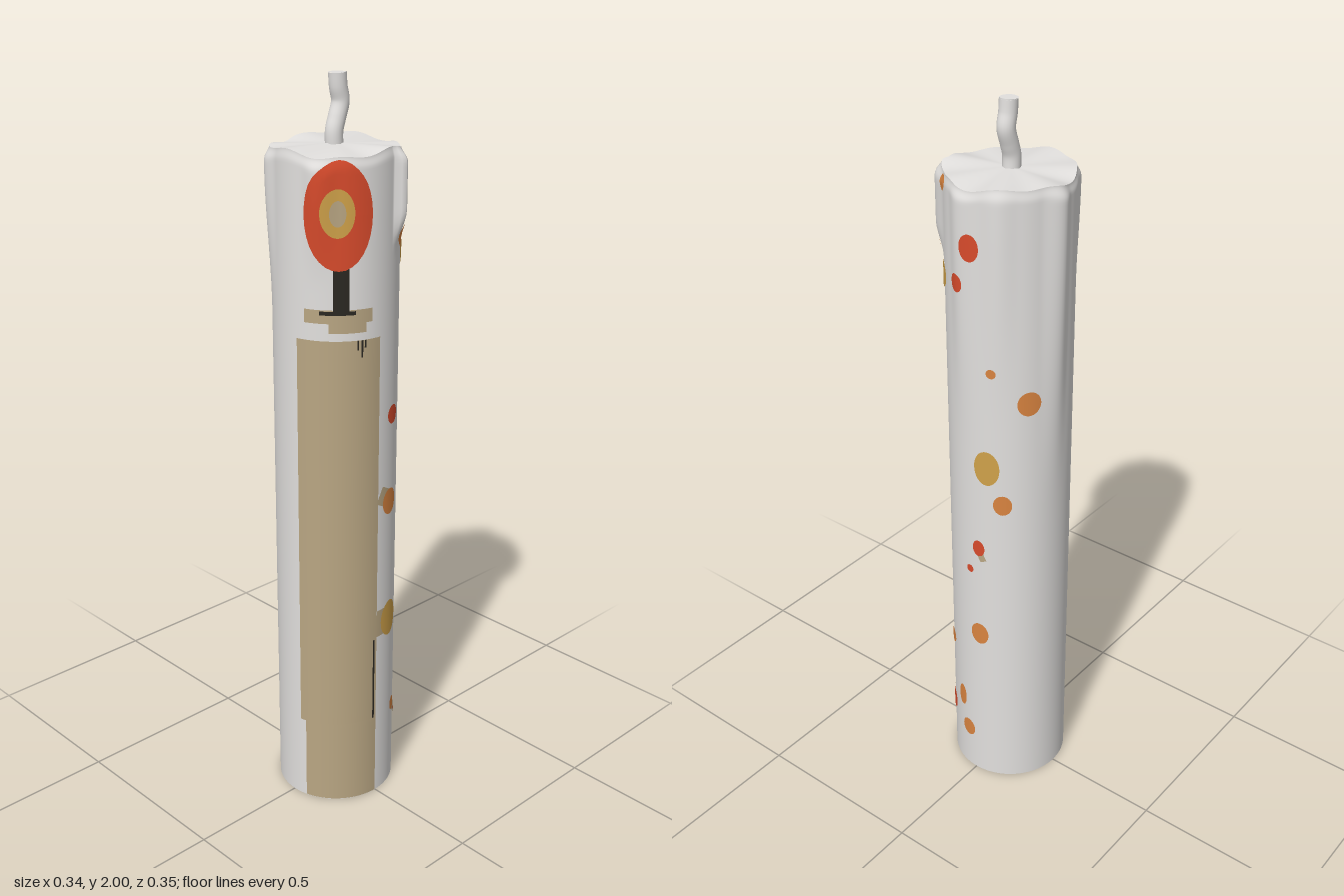
import * as THREE from 'three';
import { mergeVertices } from 'three/addons/utils/BufferGeometryUtils.js';

const R = 0.163, DEG = Math.PI / 180;
const smooth = (a, b, x) => THREE.MathUtils.smoothstep(x, a, b);

// wax runs under the rim: angle, bulge, width to either side (degrees), lower and upper height
const drips = [
  [22, 0.026, 5, 26, 1.58, 1.68],
  [80, 0.009, 16, 22, 1.1, 1.75],
  [118, 0.007, 18, 18, 1.2, 1.75],
  [174, 0.017, 20, 16, 0.9, 1.78],
  [-124, 0.015, 22, 16, 1.4, 1.78],
  [-60, 0.012, 16, 20, 1.5, 1.76],
];

// angle 0 faces +z and grows toward +x
function radius(t, y) {
  let r = R;
  for (const [a, bulge, wl, wr, y0, y1] of drips) {
    let d = t / DEG - a;
    d -= 360 * Math.round(d / 360);
    const s = Math.max(0, 1 - Math.abs(d) / (d < 0 ? wl : wr));
    r += bulge * s * s * (3 - 2 * s) * smooth(y0, y1, y) * (1 - 0.6 * smooth(1.79, 1.83, y));
  }
  return r - 0.005 * smooth(1.8, 1.826, y);
}

function surface(t, y, lift = 0) {
  const r = radius(t, y) + lift;
  const wave = 0.006 * Math.sin(3 * t + 0.6) + 0.004 * Math.sin(7 * t);
  return new THREE.Vector3(r * Math.sin(t), y + wave * smooth(1.74, 1.826, y), r * Math.cos(t));
}

// wraps a flat geometry (x = arc length, y = height) round the candle
function wrap(geo, lift) {
  const p = geo.attributes.position;
  for (let i = 0; i < p.count; i++) {
    const v = surface(p.getX(i) / R, p.getY(i), lift);
    p.setXYZ(i, v.x, v.y, v.z);
  }
  geo.computeVertexNormals();
  return geo;
}

export function createModel() {
  const group = new THREE.Group();
  const material = (name, color) => {
    const m = new THREE.MeshStandardMaterial({ color });
    m.name = name;
    return m;
  };
  const wax = material('white wax', 0xe2e0de);
  const tan = material('tan paint', 0xb9a683);
  const red = material('red paint', 0xd84b2c);
  const orange = material('orange paint', 0xd98440);
  const yellow = material('yellow paint', 0xd0a24a);
  const dark = material('dark paint', 0x2b2822);

  const add = (name, geo, mat) => {
    const mesh = new THREE.Mesh(geo, mat);
    mesh.name = name;
    group.add(mesh);
    return mesh;
  };

  // wax column, with rows packed toward the rim
  let side = new THREE.PlaneGeometry(2 * Math.PI * R, 1, 144, 70);
  const sp = side.attributes.position;
  for (let i = 0; i < sp.count; i++) {
    const v = sp.getY(i) + 0.5;
    sp.setY(i, 1.826 * (1 - (1 - v) ** 2));
  }
  wrap(side, 0);
  side.deleteAttribute('uv');
  side.deleteAttribute('normal');
  side = mergeVertices(side, 1e-5);
  side.computeVertexNormals();
  add('candleSide', side, wax);

  // top surface and base
  const top = new THREE.CircleGeometry(1, 144).rotateX(-Math.PI / 2);
  const tp = top.attributes.position;
  for (let i = 0; i < tp.count; i++) {
    const x = tp.getX(i), z = tp.getZ(i);
    const v = Math.hypot(x, z) < 0.5 ? new THREE.Vector3(0, 1.832, 0) : surface(Math.atan2(x, z), 1.826);
    tp.setXYZ(i, v.x, v.y, v.z);
  }
  top.computeVertexNormals();
  add('candleTop', top, wax);
  add('candleBase', new THREE.CircleGeometry(R, 144).rotateX(Math.PI / 2), wax);

  // bent wick
  const bend = [[-0.004, 1.81], [-0.005, 1.86], [0.004, 1.89], [0.016, 1.93], [0.009, 1.965], [0.006, 2]];
  const path = new THREE.CatmullRomCurve3(bend.map(([x, y]) => new THREE.Vector3(x, y, 0)));
  add('wick', new THREE.TubeGeometry(path, 30, 0.023, 20), wax);
  add('wickTip', new THREE.CircleGeometry(0.0235, 20).rotateX(-Math.PI / 2).translate(0.006, 1.999, 0), wax);

  // paint helpers; angles in degrees, sizes measured along the surface
  const oval = (name, mat, a, y, rx, ry, lift = 0.0025) => add(name, wrap(
    new THREE.RingGeometry(0, 1, 32, 8).scale(rx, ry, 1).translate(a * DEG * R, y, 0), lift), mat);
  const panel = (name, mat, a0, a1, y0, y1, lift = 0.0018) => add(name, wrap(
    new THREE.PlaneGeometry((a1 - a0) * DEG * R, y1 - y0, 24, 16)
      .translate((a0 + a1) / 2 * DEG * R, (y0 + y1) / 2, 0), lift), mat);
  const streak = (name, mat, a0, y0, a1, y1, w) => {
    const dx = (a1 - a0) * DEG * R, dy = y1 - y0;
    add(name, wrap(new THREE.PlaneGeometry(Math.hypot(dx, dy), w, 10, 3).rotateZ(Math.atan2(dy, dx))
      .translate((a0 + a1) / 2 * DEG * R, (y0 + y1) / 2, 0), 0.002), mat);
  };

  // tan field on the front
  panel('tanField', tan, -80, -1, 0.25, 1.37);
  panel('tanFieldFoot', tan, -74, -1, 0.002, 0.25);
  panel('tanBand', tan, -72, -10, 1.415, 1.45);
  panel('tanBandStep', tan, -50, -16, 1.39, 1.415);
  panel('darkLine', dark, -5.5, -3.5, 0.25, 0.5, 0.0025);

  // flower with stem
  oval('flowerPetals', red, -41, 1.684, 0.086, 0.136, 0.0025);
  oval('flowerCentre', yellow, -42, 1.69, 0.042, 0.06, 0.004);
  oval('flowerHeart', tan, -42, 1.69, 0.02, 0.032, 0.0055);
  panel('stem', dark, -46, -32, 1.44, 1.56, 0.002);
  panel('stemFoot', dark, -58, -26, 1.437, 1.447, 0.0028);
  for (const [a, y0, y1] of [[-24, 1.345, 1.37], [-20, 1.325, 1.37], [-17, 1.35, 1.37]])
    panel('darkTick', dark, a - 0.8, a + 0.8, y0, y1, 0.0028);

  // smears beside some of the dots
  streak('smear', tan, 1, 0.93, 14, 0.91, 0.05);
  streak('smear', tan, -1, 0.545, 12, 0.545, 0.08);
  streak('smear', tan, 29, 0.25, 46, 0.2, 0.025);
  streak('smear', orange, 29, 1.61, 44, 1.575, 0.03);
  streak('smear', tan, 97, 0.805, 102, 0.775, 0.02);

  // scattered dots: paint, angle, height, half width, half height
  const dots = [
    [red, 19.5, 1.145, 0.024, 0.026],
    [orange, 16, 0.9, 0.031, 0.037],
    [yellow, 18, 0.545, 0.039, 0.053],
    [orange, 51, 0.435, 0.021, 0.023],
    [orange, 29, 0.25, 0.016, 0.021],
    [red, 47.5, 0.19, 0.028, 0.034],
    [orange, 49, 1.805, 0.02, 0.02],
    [orange, 28, 1.62, 0.019, 0.025],
    [yellow, 45, 1.567, 0.034, 0.036],
    [red, 92, 1.68, 0.025, 0.035],
    [red, 78, 1.58, 0.02, 0.024],
    [orange, 111, 1.355, 0.013, 0.013],
    [orange, 145, 1.27, 0.031, 0.034],
    [yellow, 106, 1.075, 0.035, 0.051],
    [orange, 121, 0.967, 0.025, 0.03],
    [red, 97, 0.815, 0.018, 0.025],
    [red, 87, 0.737, 0.011, 0.012],
    [orange, 97, 0.522, 0.027, 0.035],
    [orange, 72, 0.255, 0.017, 0.037],
    [orange, 81, 0.147, 0.024, 0.029],
  ];
  for (const [mat, ...d] of dots) oval('dot', mat, ...d, 0.003);

  return group;
}
